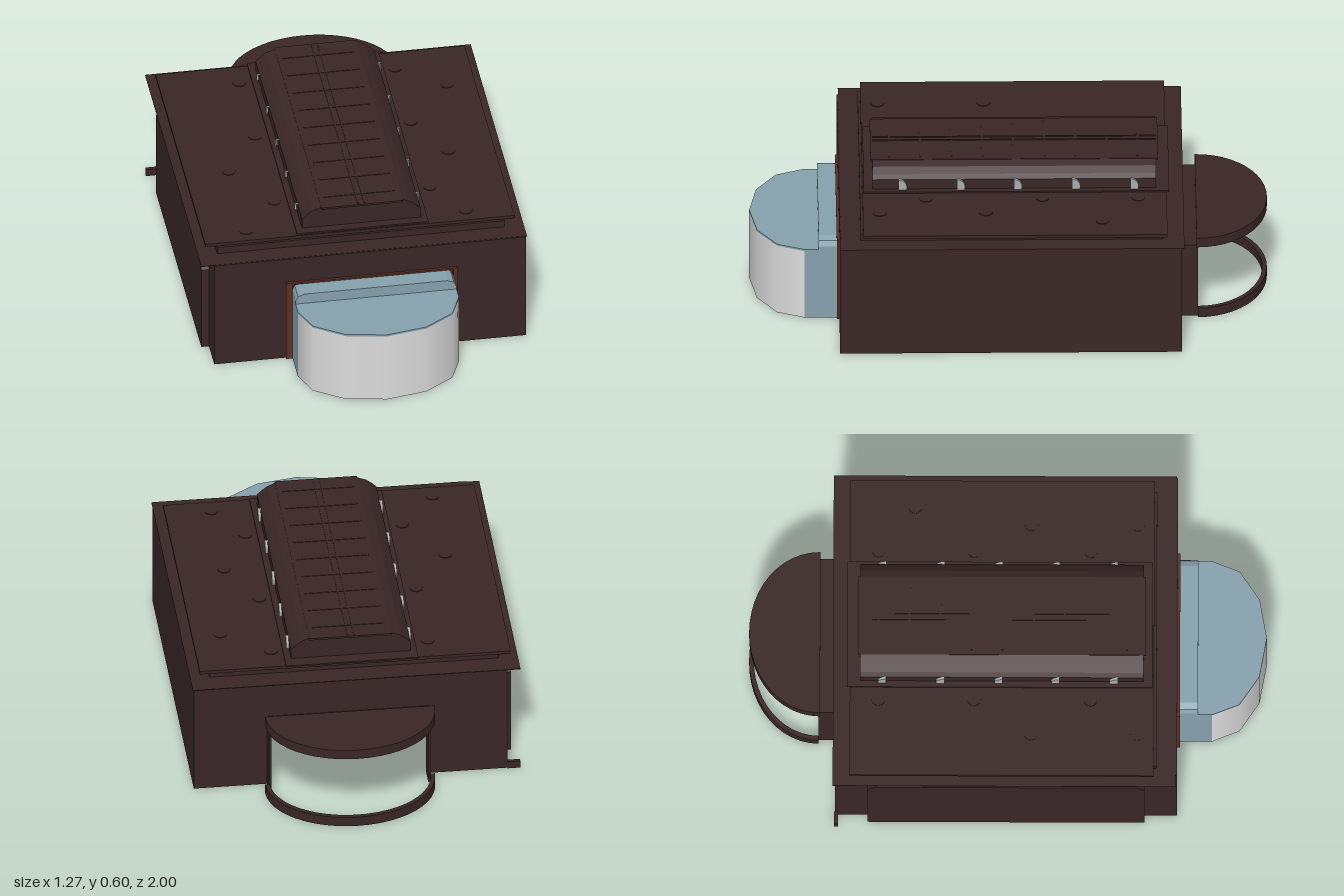
import * as THREE from 'three';

const mat = (name, color) => {
  const m = new THREE.MeshStandardMaterial({ color, side: THREE.DoubleSide });
  m.name = name;
  return m;
};

export function createModel() {
  const brown = mat('darkBrown', 0x3a2627);
  const blue = mat('greyBlue', 0x86a1ad);
  const white = mat('paleGlass', 0xdcdcdc);
  const rust = mat('rustTrim', 0x5e3022);
  const lamp = mat('lampGlass', 0xa9aeac);
  const model = new THREE.Group();

  const add = (name, geo, m) => {
    const mesh = new THREE.Mesh(geo, m);
    mesh.name = name;
    model.add(mesh);
    return mesh;
  };
  const box = (name, m, x0, x1, y0, y1, z0, z1) =>
    add(name, new THREE.BoxGeometry(x1 - x0, y1 - y0, z1 - z0), m)
      .position.set((x0 + x1) / 2, (y0 + y1) / 2, (z0 + z1) / 2);
  const shape = (pts) => new THREE.Shape(pts.map((p) => new THREE.Vector2(p[0], p[1])));
  const extrude = (s, depth) => new THREE.ExtrudeGeometry(s, { depth, bevelEnabled: false });
  // Outline given as [x, z], raised from y0 to y1
  const slab = (name, m, pts, y0, y1, hole) => {
    const s = shape(pts.map(([x, z]) => [x, -z]));
    if (hole) s.holes.push(shape(hole.map(([x, z]) => [x, -z])));
    return add(name, extrude(s, y1 - y0).rotateX(-Math.PI / 2).translate(0, y0, 0), m);
  };
  // Outline given as [x, y], running from z0 to z1
  const upright = (name, m, pts, z0, z1) =>
    add(name, extrude(shape(pts), z1 - z0).translate(0, 0, z0), m);
  const rect = (x0, x1, z0, z1) => [[x0, z0], [x1, z0], [x1, z1], [x0, z1]];
  const arch = (x0, x1, o0, o1, h, top) =>
    [[x0, 0], [x0, top], [x1, top], [x1, 0], [o1, 0], [o1, h], [o0, h], [o0, 0]];
  // Half ellipse of points in plan; dir +1 bulges to the front, -1 to the back
  const bow = (cx, cz, rx, rz, n, dir) => Array.from({ length: n + 1 }, (_, i) => {
    const a = Math.PI * i / n;
    return [cx - rx * Math.cos(a), cz + dir * rz * Math.sin(a)];
  });
  const band = (cx, cz, rx, rz, w, n, dir) =>
    [...bow(cx, cz, rx, rz, n, dir), ...bow(cx, cz, rx - w, rz - w, n, dir).reverse()];

  // Hollow walls with an opening at each end
  upright('frontWall', brown, arch(-0.59, 0.63, -0.285, 0.345, 0.3, 0.46), 0.645, 0.655);
  upright('backWall', brown, arch(-0.59, 0.63, -0.285, 0.345, 0.31, 0.46), -0.665, -0.655);
  box('leftWall', brown, 0.62, 0.63, 0, 0.46, -0.66, 0.65);
  const side = extrude(shape([[-0.655, 0], [-0.54, 0], [-0.54, 0.36], [-0.51, 0.39], [0.5, 0.39],
    [0.53, 0.36], [0.53, 0], [0.645, 0], [0.645, 0.46], [-0.655, 0.46]]), 0.01);
  add('rightWall', side.rotateY(-Math.PI / 2).translate(-0.58, 0, 0), brown);

  // Raised panel on the right wall
  const panelPts = [[-0.54, 0], [-0.54, 0.36], [-0.51, 0.39], [0.5, 0.39], [0.53, 0.36], [0.53, 0]];
  const rim = [...panelPts, ...[...panelPts].reverse().map(([z, y]) =>
    [z < 0 ? z + 0.006 : z - 0.006, y > 0 ? y - 0.006 : 0])];
  add('sidePanel', extrude(shape(panelPts), 0.008).rotateY(-Math.PI / 2).translate(-0.612, 0, 0), brown);
  add('panelRim', extrude(shape(rim), 0.03).rotateY(-Math.PI / 2).translate(-0.59, 0, 0), brown);
  box('cornerFoot', brown, -0.64, -0.59, 0, 0.03, -0.67, -0.655);

  // Stepped roof
  slab('eaves', brown, rect(-0.64, 0.635, -0.675, 0.65), 0.458, 0.461, rect(-0.555, 0.55, -0.58, 0.565));
  slab('roofStep', brown, rect(-0.565, 0.56, -0.59, 0.575), 0.46, 0.49, rect(-0.555, 0.55, -0.58, 0.565));
  slab('roofPlate', brown, rect(-0.61, 0.6, -0.61, 0.565), 0.49, 0.503, rect(-0.215, 0.23, -0.57, 0.52));
  slab('skylightBase', brown, rect(-0.25, 0.265, -0.62, 0.56), 0.503, 0.509, rect(-0.215, 0.23, -0.57, 0.52));

  // Roof discs
  [[-0.44, 0.09], [-0.3, 0.32], [-0.44, 0.5], [-0.3, -0.13], [-0.3, -0.5], [0.49, -0.36], [0.31, -0.5],
    [0.31, -0.13], [0.42, 0.09], [0.31, 0.32], [0.42, 0.5]].forEach(([x, z]) =>
    add('roofDisc', new THREE.CylinderGeometry(0.026, 0.026, 0.003, 12), brown).position.set(x, 0.504, z));

  // Crossed braces beneath the roof
  for (const cx of [-0.39, 0.395])
    for (const cz of [-0.3, 0.28])
      for (const s of [-1, 1]) {
        const brace = add('roofBrace', new THREE.BoxGeometry(0.015, 0.012, 0.6), brown);
        brace.position.set(cx, 0.484, cz);
        brace.rotation.y = s * 0.5;
      }

  // Hollow skylight with rounded shoulders
  const hood = [[-0.225, 0.505], [-0.225, 0.55], [-0.21, 0.565], [-0.185, 0.585], [-0.15, 0.598],
    [0.17, 0.598], [0.2, 0.585], [0.225, 0.565], [0.24, 0.55], [0.24, 0.505]];
  const inner = hood.map(([x, y]) => [0.0075 + (x - 0.0075) * 0.965, y > 0.51 ? y - 0.008 : y]).reverse();
  upright('skylightHood', brown, [...hood, ...inner], -0.57, 0.525);
  upright('skylightEnd', brown, hood, 0.515, 0.525);
  upright('skylightEnd', brown, hood, -0.57, -0.56);
  box('skylightCap', brown, -0.15, 0.17, 0.592, 0.6, -0.578, 0.533);
  for (const x of [-0.005, 0.02]) box('ridgeRail', brown, x - 0.003, x + 0.003, 0.6, 0.603, -0.57, 0.525);
  for (let i = 0; i < 9; i++) {
    const z = -0.5 + i * 0.12;
    box('skylightRib', brown, -0.13, 0.15, 0.599, 0.602, z - 0.004, z + 0.004);
  }

  // Round-headed side lamps
  for (const x of [-0.224, 0.239])
    for (const z of [0.425, 0.2, -0.02, -0.245, -0.47]) {
      const g = new THREE.CylinderGeometry(0.032, 0.032, 0.022, 16, 1, false, 0, Math.PI).rotateZ(Math.PI / 2);
      // Flat side of the half disc sits at the bottom
      g.rotateX(Math.PI / 2);
      g.computeBoundingBox();
      if (g.boundingBox.min.y < -0.02) g.rotateX(Math.PI);
      add('sideLamp', g, lamp).position.set(x, 0.521, z);
    }

  // Front bay
  upright('bayFrame', rust, arch(-0.31, 0.36, -0.285, 0.345, 0.345, 0.352), 0.655, 0.665);
  upright('bayHead', blue, [[-0.285, 0.299], [-0.285, 0.315], [-0.275, 0.335], [-0.25, 0.345],
    [0.31, 0.345], [0.335, 0.335], [0.345, 0.315], [0.345, 0.299]], 0.65, 0.735);
  slab('bayRoof', blue, [[-0.285, 0.65], ...bow(0.03, 0.79, 0.315, 0.21, 6, 1), [0.345, 0.65]], 0.294, 0.302);
  box('baySide', blue, -0.285, -0.277, 0, 0.3, 0.65, 0.79);
  box('baySide', blue, 0.337, 0.345, 0, 0.3, 0.65, 0.79);
  const glass = new THREE.CylinderGeometry(1, 1, 0.296, 6, 1, true, -Math.PI / 2, Math.PI);
  glass.scale(0.315, 1, 0.21);
  add('bayGlass', glass, white).position.set(0.03, 0.148, 0.79);
  for (const y of [0.03, 0.095, 0.16, 0.225])
    slab('bayShelf', brown, band(0.03, 0.79, 0.308, 0.203, 0.04, 6, 1), y, y + 0.012);

  // Open back porch
  box('porchSide', brown, -0.285, -0.275, 0, 0.31, -0.73, -0.66);
  box('porchSide', brown, 0.335, 0.345, 0, 0.31, -0.73, -0.66);
  box('porchLintel', brown, -0.285, 0.345, 0.3, 0.312, -0.73, -0.66);
  slab('porchRoof', brown, bow(0.03, -0.73, 0.33, 0.27, 24, -1), 0.335, 0.35);
  slab('porchRoofRim', brown, band(0.03, -0.73, 0.33, 0.27, 0.014, 24, -1), 0.31, 0.336);
  box('porchFascia', brown, -0.3, 0.36, 0.31, 0.35, -0.735, -0.725);
  slab('porchSill', brown, band(0.03, -0.73, 0.33, 0.27, 0.018, 24, -1), 0, 0.04);

  return model;
}
